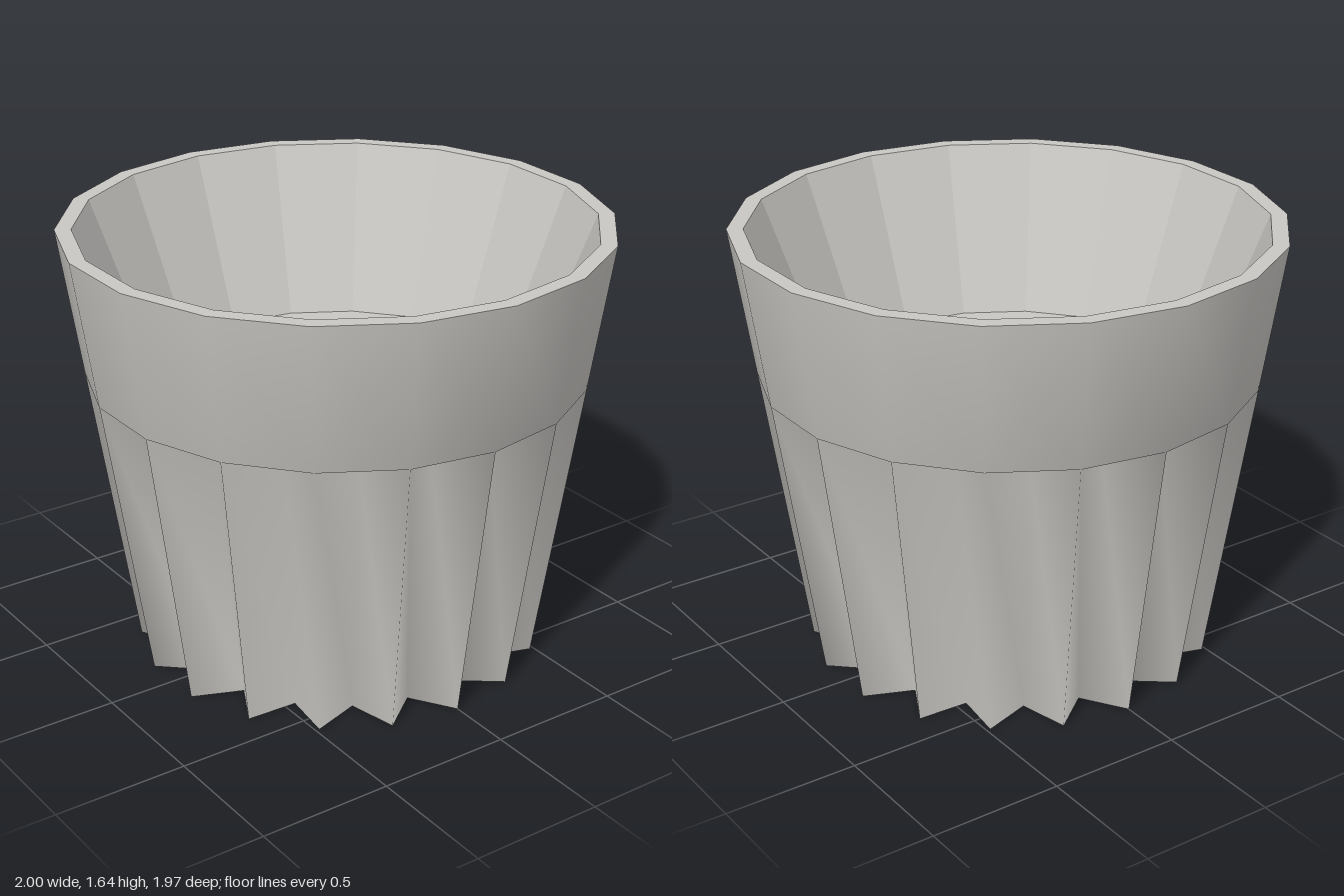
import * as THREE from 'three';

const SIDES = 18;
const HEIGHT = 1.64, BAND_Y = 1.09, FLOOR_Y = 1.02;
const FOOT_R = 0.755, BAND_R = 0.918, RIM_R = 1;
const FOOT_GROOVE_R = 0.6, BAND_GROOVE_R = 0.73;

// Point at a half-step angle: even steps are ridges, odd steps are grooves
function ringPoint(step, radius, y) {
  const a = (step * Math.PI) / SIDES;
  return [radius * Math.cos(a), y, radius * Math.sin(a)];
}

function indexed(positions, index) {
  const g = new THREE.BufferGeometry();
  g.setAttribute('position', new THREE.Float32BufferAttribute(positions, 3));
  g.setIndex(index);
  g.computeVertexNormals();
  return g;
}

// Fluted lower wall, the small ledges above the grooves and the plain band, smoothed together
function outerWall() {
  const n = SIDES * 2, pos = [], idx = [];
  for (let i = 0; i < n; i++) pos.push(...ringPoint(i, i % 2 ? FOOT_GROOVE_R : FOOT_R, 0));
  for (let i = 0; i < n; i++) pos.push(...ringPoint(i, i % 2 ? BAND_GROOVE_R : BAND_R, BAND_Y));
  for (let i = 0; i < n; i += 2) pos.push(...ringPoint(i, RIM_R, HEIGHT));
  const quad = (a, b, c, d) => idx.push(a, c, d, a, d, b);
  for (let i = 0; i < n; i++) {
    const j = (i + 1) % n;
    quad(i, j, n + i, n + j);
  }
  for (let s = 0; s < SIDES; s++) {
    const t = (s + 1) % SIDES;
    const a = n + 2 * s, b = n + 2 * t;
    idx.push(a, b, a + 1);
    quad(a, b, 2 * n + s, 2 * n + t);
  }
  return indexed(pos, idx);
}

// Star-shaped underside
function starBase() {
  const n = SIDES * 2, pos = [0, 0, 0], idx = [];
  for (let i = 0; i < n; i++) {
    pos.push(...ringPoint(i, i % 2 ? FOOT_GROOVE_R : FOOT_R, 0));
    idx.push(0, i + 1, ((i + 1) % n) + 1);
  }
  return indexed(pos, idx);
}

// Faceted surface turned from a short profile of [radius, y] points
function faceted(profile) {
  const points = profile.map(([r, y]) => new THREE.Vector2(r, y));
  const g = new THREE.LatheGeometry(points, SIDES, Math.PI / 2).toNonIndexed();
  g.computeVertexNormals();
  return g;
}

export function createModel() {
  const group = new THREE.Group();
  group.name = 'flutedPot';
  const clay = new THREE.MeshStandardMaterial({ color: 0xc9c7c3 });
  clay.name = 'warm grey';

  const add = (name, geometry) => {
    const mesh = new THREE.Mesh(geometry, clay);
    mesh.name = name;
    group.add(mesh);
  };

  add('outerWall', outerWall());
  add('base', starBase());
  add('rim', faceted([[RIM_R, HEIGHT], [0.94, HEIGHT]]));
  add('innerWall', faceted([[0.94, HEIGHT], [0.705, FLOOR_Y]]));
  add('innerFloor', faceted([[0.705, FLOOR_Y], [0, FLOOR_Y]]));
  return group;
}
